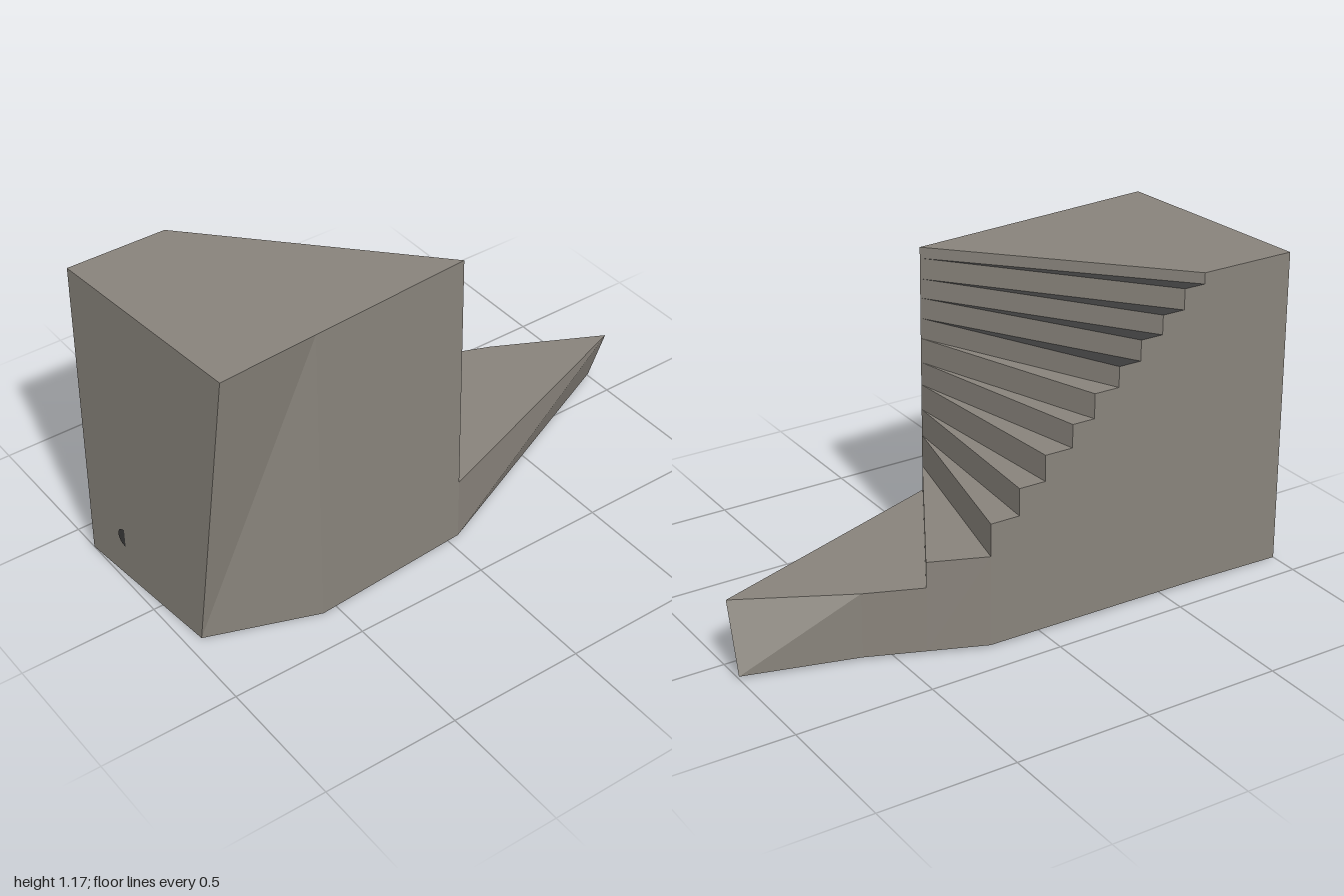
import * as THREE from 'three';

const stone = new THREE.MeshStandardMaterial({ color: 0x88837b, side: THREE.DoubleSide });
stone.name = 'stone';
const dark = new THREE.MeshStandardMaterial({ color: 0x3c3c3c, side: THREE.DoubleSide });
dark.name = 'darkTread';

// Flat-shaded mesh from convex polygons, each fanned into triangles
function polyMesh(name, polygons, material) {
  const pos = [];
  for (const p of polygons) {
    for (let i = 1; i < p.length - 1; i++) pos.push(...p[0], ...p[i], ...p[i + 1]);
  }
  const g = new THREE.BufferGeometry();
  g.setAttribute('position', new THREE.Float32BufferAttribute(pos, 3));
  g.computeVertexNormals();
  const mesh = new THREE.Mesh(g, material);
  mesh.name = name;
  return mesh;
}

export function createModel() {
  const group = new THREE.Group();
  group.name = 'windingStair';

  const base = 0.01, top = 1.17;
  const at = ([x, z], y) => [x, y, z];
  const wall = (a, b, h) => [at(a, base), at(b, base), at(b, h), at(a, h)];

  // Plan points: every step fans out from the pivot
  const pivot = [0.32, -0.04];
  const bend = [-0.22, -0.6];
  const riserZ = [-0.4, -0.2, -0.09, 0.01, 0.115, 0.2, 0.295, 0.38, 0.465, 0.55, 0.63];
  const heights = [0.25, 0.345, 0.465, 0.565, 0.66, 0.745, 0.835, 0.91, 0.985, 1.055, 1.13, top];
  const outer = riserZ.map((z, i) => [i === 0 ? -0.3 : -0.38 - 0.01 * (z + 0.2) / 0.83, z]);

  // Leaning corners
  const tipTop = [-0.02, heights[0], -0.99], tipLow = [-0.11, base, -1];
  const leftTop = [-0.39, top, 0.99], leftLow = [-0.39, 0, 1];
  const rightTop = [0.39, top, 0.925], rightLow = [0.21, 0, 0.945];
  const mid = [0.362, 0.56];
  const last = outer[outer.length - 1];

  // Bottom step and landing
  group.add(polyMesh('bottomTread',
    [[at(pivot, heights[0]), tipTop, at(bend, heights[0]), at(outer[0], heights[0])]], stone));
  group.add(polyMesh('landing',
    [[at(pivot, top), at(last, top), leftTop, rightTop, at(mid, top)]], stone));

  // Winding treads, risers and the stepped outer wall
  const outerWall = [
    [tipLow, at(bend, base), at(bend, heights[0]), tipTop],
    wall(bend, outer[0], heights[0]),
  ];
  outer.forEach((a, i) => {
    const lo = heights[i], hi = heights[i + 1];
    group.add(polyMesh('riser' + (i + 1),
      [[at(pivot, lo), at(a, lo), at(a, hi), at(pivot, hi)]], stone));
    const b = outer[i + 1];
    if (!b) return;
    group.add(polyMesh('tread' + (i + 1),
      [[at(pivot, hi), at(a, hi), at(b, hi)]], i >= 6 ? dark : stone));
    outerWall.push(wall(a, b, hi));
  });
  outerWall.push([at(last, base), leftLow, leftTop, at(last, top)]);
  group.add(polyMesh('outerWall', outerWall, stone));

  // Front, inner side and back walls; the underside stays open
  group.add(polyMesh('frontWall', [[leftLow, rightLow, rightTop, leftTop]], stone));
  group.add(polyMesh('innerWall', [
    [rightLow, at(mid, top), rightTop],
    [rightLow, at(mid, base), at(mid, top)],
    wall(mid, pivot, top),
  ], stone));
  group.add(polyMesh('backWall', [
    [at(pivot, base), tipLow, tipTop],
    [at(pivot, base), tipTop, at(pivot, heights[0])],
  ], stone));

  // Small dark chip on the front wall
  const chip = new THREE.Mesh(new THREE.CircleGeometry(0.036, 12, Math.PI / 2, Math.PI), dark);
  chip.name = 'frontChip';
  chip.position.set(-0.19, 0.172, 0.984);
  chip.rotation.y = 0.09;
  group.add(chip);

  return group;
}
